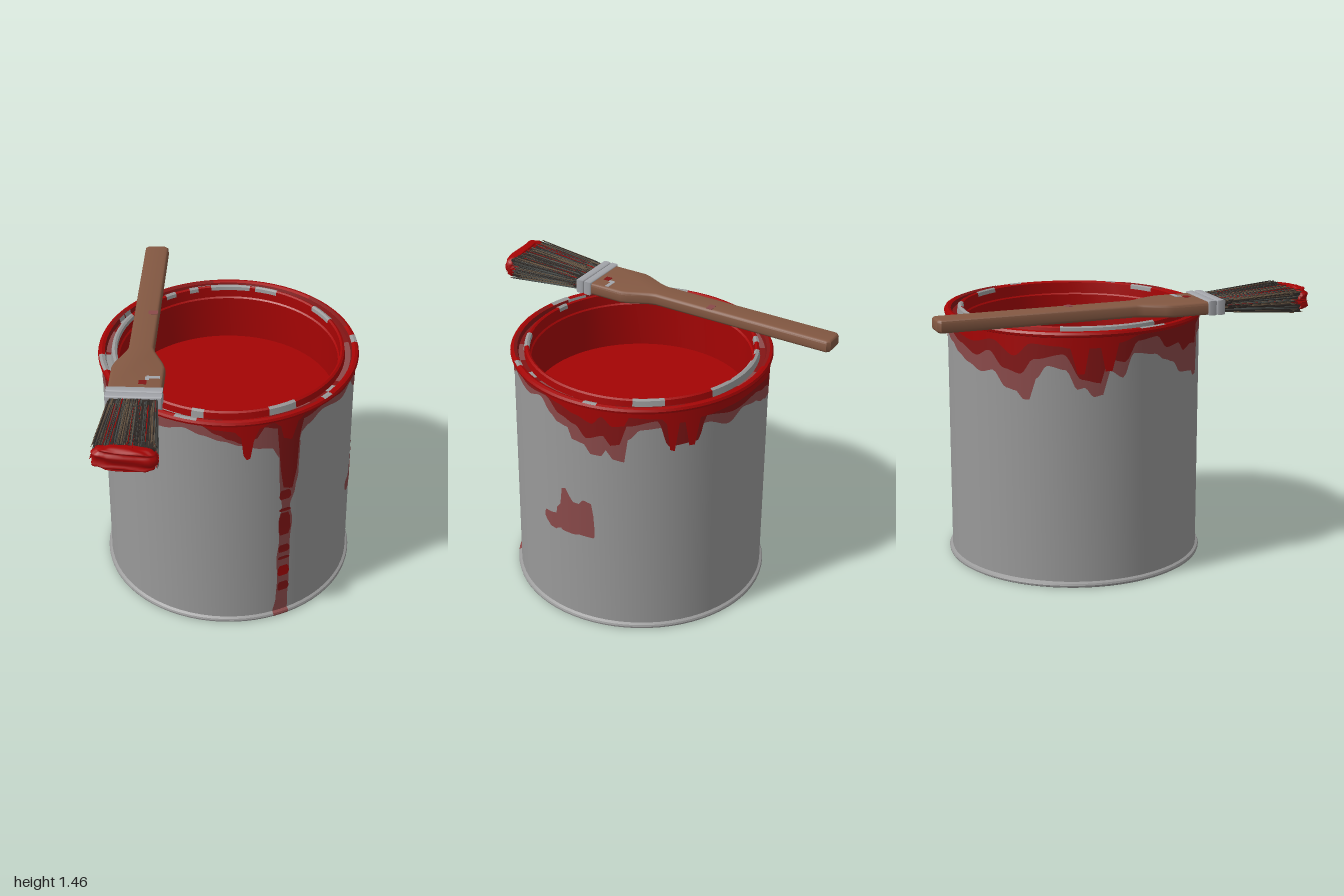
import * as THREE from 'three';
import { mergeGeometries, toCreasedNormals } from 'three/addons/utils/BufferGeometryUtils.js';

const RAD = Math.PI / 180;
const CAN_Z = -0.11;

function material(name, color) {
  const m = new THREE.MeshStandardMaterial({ color });
  m.name = name;
  return m;
}

function seeded(seed) {
  return () => {
    seed = (seed * 16807) % 2147483647;
    return seed / 2147483647;
  };
}

// Interpolates key rows [t, a, b] with eased steps, so edges look like runny paint
function resample(keys, step) {
  const out = [];
  for (let i = 0; i < keys.length - 1; i++) {
    const k = keys[i], n = keys[i + 1];
    const count = Math.max(2, Math.ceil((n[0] - k[0]) / step));
    for (let j = 0; j < count; j++) {
      const t = j / count, e = t * t * (3 - 2 * t);
      out.push([k[0] + (n[0] - k[0]) * t, k[1] + (n[1] - k[1]) * e, k[2] + (n[2] - k[2]) * e]);
    }
  }
  out.push(keys[keys.length - 1]);
  return out;
}

// Ribbon of quads between pairs of points on the can wall: [degrees, height]
function wallRibbon(pairs, radius) {
  const pos = [], index = [];
  pairs.forEach((pair, i) => {
    for (const [deg, y] of pair) pos.push(radius * Math.sin(deg * RAD), y, radius * Math.cos(deg * RAD));
    if (i) {
      const b = 2 * i;
      index.push(b - 2, b, b + 1, b - 2, b + 1, b - 1);
    }
  });
  const g = new THREE.BufferGeometry();
  g.setAttribute('position', new THREE.Float32BufferAttribute(pos, 3));
  g.setIndex(index);
  g.computeVertexNormals();
  return g;
}
// Patch from columns [degrees, bottom, top]
const columns = (keys, radius) =>
  wallRibbon(resample(keys, 1.5).map(([d, y0, y1]) => [[d, y0], [d, y1]]), radius);
// Trail from rows [height, left degrees, right degrees]
const rows = (keys, radius) =>
  wallRibbon(resample(keys, 0.02).map(([y, l, r]) => [[r, y], [l, y]]), radius);
// Patch hanging from the rim, from [degrees, bottom]
const curtain = (keys, radius) => columns(keys.map(([d, y]) => [d, y, 1.316]), radius);

function lathe(points, segments = 72, start = 0, length = 360) {
  const g = new THREE.LatheGeometry(points.map(p => new THREE.Vector2(...p)), segments, start * RAD, length * RAD);
  return toCreasedNormals(g, 0.6);
}

export function createModel() {
  const metal = material('tin metal', 0x999999);
  const red = material('wet red paint', 0xa40404);
  const darkRed = material('thin red paint', 0x821515);
  const stain = material('faded paint stain', 0x8a4a4a);
  const wood = material('handle wood', 0x835842);
  const ferruleMetal = material('ferrule metal', 0xa3a5aa);
  const darkHair = material('dark bristle', 0x302a27);
  const tanHair = material('tan bristle', 0x6b5844);
  const greyHair = material('grey bristle', 0x4c5250);

  const model = new THREE.Group();
  const can = new THREE.Group();
  can.name = 'paintCan';
  can.position.z = CAN_Z;
  const brush = new THREE.Group();
  brush.name = 'paintBrush';
  model.add(can, brush);
  const add = (parent, name, geometry, mat) => {
    const mesh = new THREE.Mesh(geometry, mat);
    mesh.name = name;
    parent.add(mesh);
    return mesh;
  };

  // Can body with bottom bead
  const foot = [[0.675, 0], [0.683, 0.005], [0.685, 0.014], [0.681, 0.023], [0.668, 0.03]];
  add(can, 'canBody', lathe([[0, 0], ...foot, [0.668, 1.313]]), metal);

  // Rim: outer bead, lid groove, inner lip
  const bead = [[0.668, 1.312], [0.683, 1.318], [0.686, 1.33], [0.68, 1.342], [0.665, 1.346], [0.65, 1.34]];
  const groove = [[0.65, 1.34], [0.643, 1.316], [0.614, 1.314]];
  const lip = [[0.614, 1.314], [0.609, 1.349], [0.598, 1.355], [0.588, 1.35]];
  add(can, 'rimBead', lathe(bead), red);
  add(can, 'rimGroove', lathe(groove), darkRed);
  add(can, 'rimLip', lathe(lip), red);
  add(can, 'innerWall', lathe([[0.588, 1.35], [0.585, 1.29], [0.577, 1.283], [0.577, 1.035]]), red);
  add(can, 'paintSurface', lathe([[0.58, 1.035], [0, 1.035]]), red);

  // Bare and thinly covered places on the rim: [start, length] in degrees
  const raise = profile => profile.map(([r, y]) => [r + (r > 0.66 ? 0.0015 : 0), y + 0.0015]);
  const patches = (name, profile, mat, arcs) => arcs.forEach(([start, length]) =>
    add(can, name, lathe(raise(profile), Math.ceil(length / 5), start, length), mat));
  const lipEdge = [[0.618, 1.315], [0.612, 1.349], [0.598, 1.355], [0.587, 1.349], [0.584, 1.33]];
  patches('bareLip', lipEdge, metal, [[156, 12], [171, 21], [199, 5], [212, 6], [117, 15], [243, 48], [22, 14], [345, 6]]);
  patches('bareLipEdge', lipEdge.slice(0, 3), metal, [[156, 48]]);
  patches('bareBeadTop', bead.slice(3), metal, [[279, 13], [339, 10], [96, 6], [48, 5]]);
  patches('thinBeadTop', bead.slice(4), darkRed, [[296, 22], [20, 25], [110, 30], [190, 35], [240, 14], [352, 8]]);
  patches('bareGroove', groove, metal, [[238, 10], [276, 14], [330, 10], [56, 6]]);
  patches('stainedGroove', groove.slice(1), stain, [[28, 16], [66, 34], [122, 26], [172, 16], [212, 24], [256, 18], [294, 22]]);
  patches('dripFoot', foot, stain, [[23.5, 7.5]]);

  // Three layers of paint hanging from the rim
  add(can, 'fadedRunoff', curtain([
    [-180, 1.2], [-172, 1.16], [-164, 1.13], [-155, 1.1], [-148, 1.12], [-141, 1.04], [-136, 1.03], [-133, 0.99],
    [-130, 0.99], [-127, 1.1], [-122, 1.17], [-114, 1.15], [-109, 1.05], [-106, 1.06], [-102, 1.01], [-98, 1.02],
    [-95, 1.14], [-89, 1.1], [-84, 1.22], [-73, 1.2], [-67, 1.16], [-62, 1.14], [-56, 1.07], [-50, 1.06], [-45, 1.05],
    [-43, 1.02], [-39, 1.02], [-37, 1.23], [-27, 1.25], [-17, 1.28], [-9, 1.25], [0, 1.22], [8, 1.19], [17, 1.16],
    [22, 1.15], [25, 1.08], [34, 1.1], [36, 1.2], [39, 1.23], [48, 1.28], [63, 1.25], [72, 1.28], [79, 1.21],
    [82, 1.18], [88, 1.17], [90, 1.11], [96, 1.1], [99, 1.05], [104, 1.05], [106, 1.09], [109, 1.04], [114, 1.03],
    [115.5, 1.16], [121, 1.22], [130, 1.23], [140, 1.2], [150, 1.22], [162, 1.17], [171, 1.22], [180, 1.2]], 0.6695), stain);
  add(can, 'thinRunoff', curtain([
    [-180, 1.25], [-170, 1.22], [-158, 1.18], [-150, 1.22], [-142, 1.14], [-134, 1.12], [-128, 1.2], [-115, 1.23],
    [-107, 1.1], [-99, 1.08], [-96, 1.2], [-88, 1.18], [-82, 1.28], [-72, 1.29], [-66, 1.22], [-58, 1.23], [-54, 1.18],
    [-47, 1.2], [-41, 1.19], [-39, 1.29], [-30, 1.312], [-10, 1.312], [-2, 1.26], [3, 1.23], [9, 1.2], [15, 1.23],
    [18, 1.29], [24, 1.27], [26, 1.0], [27.5, 0.88], [32, 0.86], [34, 0.98], [35, 1.18], [37, 1.28], [50, 1.312],
    [64, 1.29], [76, 1.3], [84, 1.23], [92, 1.2], [97, 1.14], [105, 1.17], [108, 1.12], [112, 1.13], [115, 1.24],
    [128, 1.27], [133, 1.12], [146, 1.13], [150, 1.26], [165, 1.23], [180, 1.25]], 0.671), darkRed);
  add(can, 'wetRunoff', curtain([
    [-180, 1.28], [-160, 1.25], [-148, 1.28], [-137, 1.21], [-129, 1.28], [-117, 1.27], [-112, 1.26], [-109, 1.13],
    [-106, 1.13], [-104, 1.26], [-99, 1.26], [-97, 1.14], [-94, 1.14], [-91, 1.28], [-80, 1.312], [-10, 1.312],
    [-3, 1.29], [5, 1.28], [8, 1.24], [9, 1.13], [10.5, 1.1], [12, 1.11], [13.5, 1.22], [16, 1.29], [22, 1.312],
    [25.5, 1.28], [27, 1.2], [31, 1.18], [34, 1.28], [38, 1.312], [74, 1.312], [83, 1.29], [92, 1.26], [100, 1.23],
    [104, 1.28], [109, 1.23], [114, 1.24], [116, 1.29], [130, 1.28], [132, 1.25], [133.5, 1.1], [135.5, 1.09],
    [137.5, 1.25], [140, 1.25], [142, 1.11], [144.5, 1.11], [147, 1.26], [163, 1.27], [180, 1.28]], 0.6725), red);

  // Long drip down the front
  add(can, 'longDrip', rows([[0.028, 23.5, 31], [0.12, 25, 31], [0.25, 25.5, 31.5], [0.4, 25, 31.5], [0.52, 26, 31.5],
    [0.65, 25.5, 32.5], [0.75, 27, 31], [0.85, 26, 33.5], [0.95, 25.5, 35], [1.15, 25, 35.5]], 0.6697), stain);
  const drips = [[0.17, 0.23, darkRed], [0.275, 0.345, red], [0.39, 0.41, darkRed], [0.44, 0.49, darkRed],
    [0.56, 0.71, darkRed], [0.72, 0.74, darkRed], [0.8, 0.86, darkRed]];
  for (const [y0, y1, mat] of drips) {
    const h = y1 - y0;
    add(can, 'dripSpot', rows([[y0, 26.3, 30.5], [y0 + h * 0.25, 25.7, 31.5], [y0 + h * 0.7, 25.8, 31.3], [y1, 26.5, 30.3]], 0.6715), mat);
  }
  // Smudge on the side
  add(can, 'sideSmudge', columns([[73, 0.57, 0.59], [74, 0.55, 0.61], [77, 0.52, 0.61], [80.5, 0.52, 0.62], [81, 0.53, 0.66],
    [83, 0.54, 0.69], [84, 0.53, 0.79], [86, 0.53, 0.8], [88, 0.53, 0.76], [90, 0.53, 0.73], [93, 0.54, 0.73],
    [95, 0.54, 0.76], [99, 0.54, 0.75], [100, 0.54, 0.68], [100.5, 0.55, 0.6]], 0.6697), stain);

  // Brush handle
  const cx = -0.445;
  const half = [[0.04, -0.984], [0.049, -0.976], [0.05, 0.04], [0.062, 0.08], [0.11, 0.18], [0.122, 0.22], [0.122, 0.41]];
  const outline = new THREE.Shape([...half, ...half.map(([x, z]) => [-x, z]).reverse()].map(p => new THREE.Vector2(...p)));
  const handle = new THREE.ExtrudeGeometry(outline, {
    depth: 0.036, bevelThickness: 0.016, bevelSize: 0.016, bevelSegments: 3 });
  handle.rotateX(Math.PI / 2).translate(cx, 1.412, 0);
  add(brush, 'handle', toCreasedNormals(handle, 0.6), wood);

  // Paint flecks on the handle
  for (const [x, z, w, d, mat] of [[-0.41, 0.36, 0.04, 0.035, darkRed], [-0.36, 0.315, 0.07, 0.022, ferruleMetal],
    [-0.39, 0.325, 0.02, 0.03, ferruleMetal], [-0.41, -0.29, 0.05, 0.035, stain]]) {
    add(brush, 'handleFleck', new THREE.BoxGeometry(w, 0.003, d), mat).position.set(x, 1.428, z);
  }

  // Ferrule: two rounded bands
  const bandShape = (w, h, d, bevel) => new THREE.ExtrudeGeometry(
    new THREE.Shape([[-w, -h], [w, -h], [w, h], [-w, h]].map(p => new THREE.Vector2(...p))),
    { depth: d - 2 * bevel, bevelThickness: bevel, bevelSize: bevel, bevelSegments: 3 });
  for (const z of [0.405, 0.453]) {
    add(brush, 'ferruleBand', toCreasedNormals(bandShape(0.133, 0.028, 0.048, 0.01), 0.6), ferruleMetal)
      .position.set(cx, 1.396, z + 0.01);
  }

  // Bristles: a flared core with loose hairs around it
  const point = (u, v, t) => new THREE.Vector3(
    cx + u * (0.128 + 0.034 * t), 1.396 + v * (0.03 + 0.034 * t), 0.49 + 0.475 * t);
  const core = new THREE.BoxGeometry(2, 2, 1, 6, 3, 4);
  const cp = core.attributes.position;
  for (let i = 0; i < cp.count; i++) {
    const p = point(cp.getX(i) * 0.9, cp.getY(i) * 0.85, (cp.getZ(i) + 0.5) * 0.93);
    cp.setXYZ(i, p.x, p.y, p.z);
  }
  core.computeVertexNormals();
  add(brush, 'bristleCore', core, darkHair);

  const rand = seeded(71);
  const hairs = new Map([[darkHair, []], [tanHair, []], [greyHair, []], [red, []]]);
  const up = new THREE.Vector3(0, 1, 0);
  const hair = (mat, a, b) => {
    const dir = b.clone().sub(a);
    const g = new THREE.CylinderGeometry(0.0015, 0.003, dir.length(), 4, 1);
    g.applyQuaternion(new THREE.Quaternion().setFromUnitVectors(up, dir.normalize()));
    const mid = a.clone().add(b).multiplyScalar(0.5);
    hairs.get(mat).push(g.translate(mid.x, mid.y, mid.z));
  };
  for (let i = 0; i < 460; i++) {
    const s = rand() * 2 - 1, side = rand() < 0.5 ? -1 : 1;
    const [u, v] = rand() < 0.75 ? [s, side * 0.9] : [side * 0.94, s * 0.9];
    const k = rand();
    const mat = k < 0.45 ? darkHair : k < 0.7 ? tanHair : k < 0.94 ? greyHair : red;
    hair(mat, point(u * 0.96, v, rand() * 0.2),
      point(u + (rand() - 0.5) * 0.08, v + (rand() - 0.5) * 0.12, 0.78 + rand() * 0.17));
  }
  // Stray red hairs at the tip
  for (let i = 0; i < 60; i++) {
    const ang = rand() * Math.PI * 2, u = Math.cos(ang), v = Math.sin(ang);
    hair(red, point(u * 0.9, v * 0.85, 0.82), point(u * 1.02, v * 1.03, 0.92 + rand() * 0.08));
  }
  for (const [mat, list] of hairs) add(brush, 'bristles', mergeGeometries(list), mat);

  // Paint-soaked lumpy tip
  const tip = new THREE.SphereGeometry(1, 40, 24);
  const tp = tip.attributes.position;
  const soft = (n, e) => Math.sign(n) * Math.pow(Math.abs(n), e);
  for (let i = 0; i < tp.count; i++) {
    const x = tp.getX(i), y = tp.getY(i), z = tp.getZ(i);
    const lump = 1 + 0.05 * Math.sin(9 * x + 3 * y) * Math.cos(7 * y - 4 * z);
    tp.setXYZ(i, cx + soft(x, 0.6) * 0.159 * lump,
      1.396 + soft(y, 0.6) * 0.064 * lump - 0.006 * Math.sin(x * 3),
      0.946 + soft(z, 0.6) * 0.036 * lump + 0.006 * Math.sin(y * 11 + x * 2));
  }
  tip.computeVertexNormals();
  add(brush, 'paintedTip', tip, red);

  return model;
}
